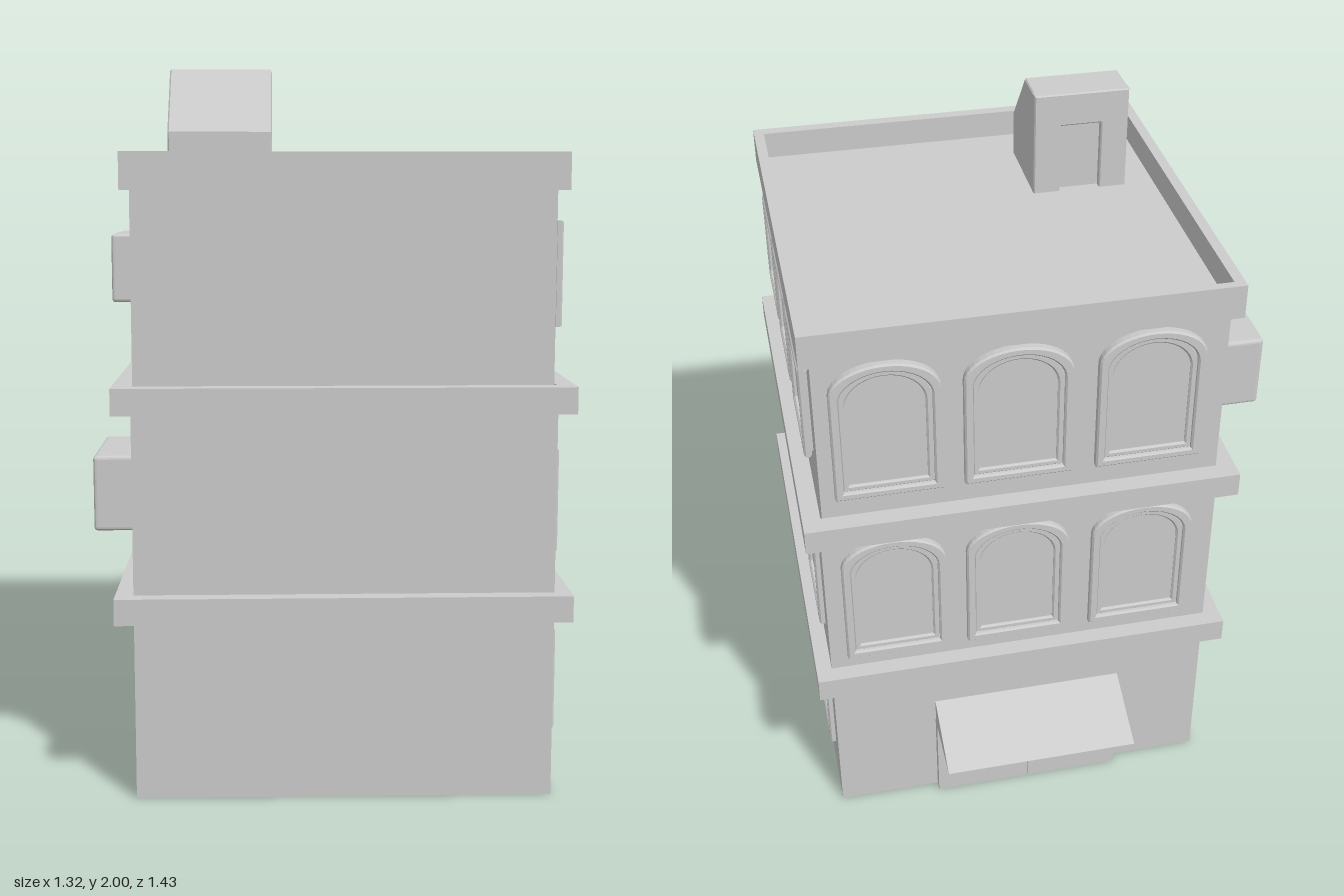
import * as THREE from 'three';
import { RoundedBoxGeometry } from 'three/addons/geometries/RoundedBoxGeometry.js';

const mat = new THREE.MeshStandardMaterial({ color: 0xcccccc, flatShading: true });
const matDouble = new THREE.MeshStandardMaterial({ color: 0xcccccc, flatShading: true, side: THREE.DoubleSide });

function add(parent, name, geometry, material = mat) {
  const mesh = new THREE.Mesh(geometry, material);
  mesh.name = name;
  parent.add(mesh);
  return mesh;
}

// Box given by its minimum and maximum corners
function span(x0, x1, y0, y1, z0, z1) {
  return new THREE.BoxGeometry(x1 - x0, y1 - y0, z1 - z0)
    .translate((x0 + x1) / 2, (y0 + y1) / 2, (z0 + z1) / 2);
}

const polygon = (pts, Type = THREE.Shape) => new Type(pts.map(([x, y]) => new THREE.Vector2(x, y)));
const rect = (x0, x1, y0, y1, Type) => polygon([[x0, y0], [x1, y0], [x1, y1], [x0, y1]], Type);

// Horizontal rectangular ring: outer and inner are [x0, x1, z0, z1]
function ring(outer, inner, y0, y1) {
  const s = rect(outer[0], outer[1], -outer[3], -outer[2]);
  s.holes.push(rect(inner[0], inner[1], -inner[3], -inner[2], THREE.Path));
  return new THREE.ExtrudeGeometry(s, { depth: y1 - y0, bevelEnabled: false })
    .rotateX(-Math.PI / 2).translate(0, y0, 0);
}

// Window outline centred on x, standing on y = inset, with an optional arched head
function outline(w, h, rise, inset, Type = THREE.Shape) {
  const a = w / 2 - inset, top = h - inset;
  if (!rise) return rect(-a, a, inset, top, Type);
  const s = new Type();
  s.moveTo(-a, inset);
  s.lineTo(a, inset);
  s.lineTo(a, top - rise);
  s.absellipse(0, top - rise, a, rise, 0, Math.PI, false, 0);
  s.lineTo(-a, inset);
  return s;
}

// Window facing +z: bevelled outer frame, stepped inner frame, pane
function makeWindow(name, w, h, rise, depth) {
  const g = new THREE.Group();
  g.name = name;
  const bevel = 0.005;
  const frame = (i0, i1, d) => {
    const s = outline(w, h, rise, i0);
    s.holes.push(outline(w, h, rise, i1, THREE.Path));
    return new THREE.ExtrudeGeometry(s, {
      depth: d - bevel, bevelSize: bevel, bevelOffset: -bevel, bevelThickness: bevel,
      bevelSegments: 1, curveSegments: 10,
    });
  };
  add(g, 'windowFrame', frame(0, 0.024, depth));
  if (rise) add(g, 'innerFrame', frame(0.022, 0.042, depth * 0.6));
  add(g, 'windowPane', new THREE.ExtrudeGeometry(outline(w, h, rise, 0.012), {
    depth: depth * 0.3 + 0.012, bevelEnabled: false, curveSegments: 10,
  }).translate(0, 0, -0.012));
  return g;
}

export function createModel() {
  const model = new THREE.Group();
  model.name = 'building';

  // Ground floor walls, open at top and bottom
  const walls = span(-0.54, 0.61, 0, 0.505, -0.485, 0.67);
  const idx = Array.from(walls.index.array);
  walls.setIndex([...idx.slice(0, 12), ...idx.slice(24)]);
  walls.clearGroups();
  add(model, 'groundFloor', walls, matDouble);

  // Upper floors
  add(model, 'middleFloor', span(-0.54, 0.61, 0.55, 1.09, -0.485, 0.67));
  add(model, 'topFloor', span(-0.535, 0.6, 1.1, 1.69, -0.48, 0.655));

  // Ledges between floors and roof parapet
  for (const y of [0.505, 1.077])
    add(model, 'ledge', ring([-0.59, 0.655, -0.535, 0.715], [-0.535, 0.605, -0.48, 0.665], y, y + 0.073));
  add(model, 'parapet', ring([-0.56, 0.63, -0.515, 0.68], [-0.53, 0.6, -0.49, 0.645], 1.67, 1.77));

  // Square windows on the left side
  for (const y of [0.167, 0.677, 1.3])
    for (const z of [0.46, 0.122, -0.25]) {
      const win = makeWindow('sideWindow', 0.288, 0.288, 0, 0.017);
      win.position.set(0.61, y, z);
      win.rotation.y = Math.PI / 2;
      model.add(win);
    }

  // Arched windows on the back
  for (const y of [0.625, 1.22])
    for (const x of [0.41, 0.05, -0.32]) {
      const win = makeWindow('archedWindow', 0.3, 0.43, 0.09, 0.024);
      win.position.set(x, y, -0.482);
      win.rotation.y = Math.PI;
      model.add(win);
    }

  // Air conditioners on the right side
  for (const [y, z] of [[0.83, 0.342], [1.425, -0.25]])
    add(model, 'airConditioner', new RoundedBoxGeometry(0.14, 0.212, 0.358, 2, 0.01))
      .position.set(-0.59, y, z);

  // Double entrance door
  const door = new THREE.Group();
  door.name = 'entranceDoor';
  model.add(door);
  for (const [x0, x1] of [[-0.27, 0.014], [0.02, 0.304]])
    add(door, 'doorLeaf', span(x0, x1, 0, 0.295, -0.513, -0.48));
  add(door, 'doorGap', span(0.01, 0.024, 0, 0.295, -0.506, -0.48));

  // Awning: slope, two side triangles and a back, open underneath
  const awning = new THREE.BufferGeometry();
  const corners = [];
  for (const x of [-0.27, 0.305]) corners.push(x, 0.297, -0.5, x, 0.387, -0.5, x, 0.297, -0.715);
  awning.setAttribute('position', new THREE.Float32BufferAttribute(corners, 3));
  awning.setIndex([0, 2, 1, 3, 4, 5, 1, 2, 5, 1, 5, 4, 0, 1, 4, 0, 4, 3]);
  const awningGeo = awning.toNonIndexed();
  awningGeo.computeVertexNormals();
  add(model, 'awning', awningGeo, matDouble);

  // Stair house on the roof with a sloped front and recessed doorway
  const house = new THREE.Group();
  house.name = 'stairHouse';
  model.add(house);
  const profile = polygon([[-0.525, 1.68], [-0.265, 1.68], [-0.265, 2], [-0.375, 2], [-0.525, 1.825]]);
  const b = 0.004;
  add(house, 'stairHouseBody', new THREE.ExtrudeGeometry(profile, {
    depth: 0.282 - 2 * b, bevelSize: b, bevelOffset: -b, bevelThickness: b, bevelSegments: 1,
  }).rotateY(Math.PI / 2).translate(-0.441 + b, 0, 0));
  const doorway = polygon([[-0.441, 1.68], [-0.36, 1.68], [-0.36, 1.9], [-0.24, 1.9],
    [-0.24, 1.68], [-0.159, 1.68], [-0.159, 2], [-0.441, 2]]);
  add(house, 'doorway', new THREE.ExtrudeGeometry(doorway, {
    depth: 0.022, bevelSize: b, bevelOffset: -b, bevelThickness: b, bevelSegments: 1,
  }).translate(0, 0, 0.247));

  return model;
}
